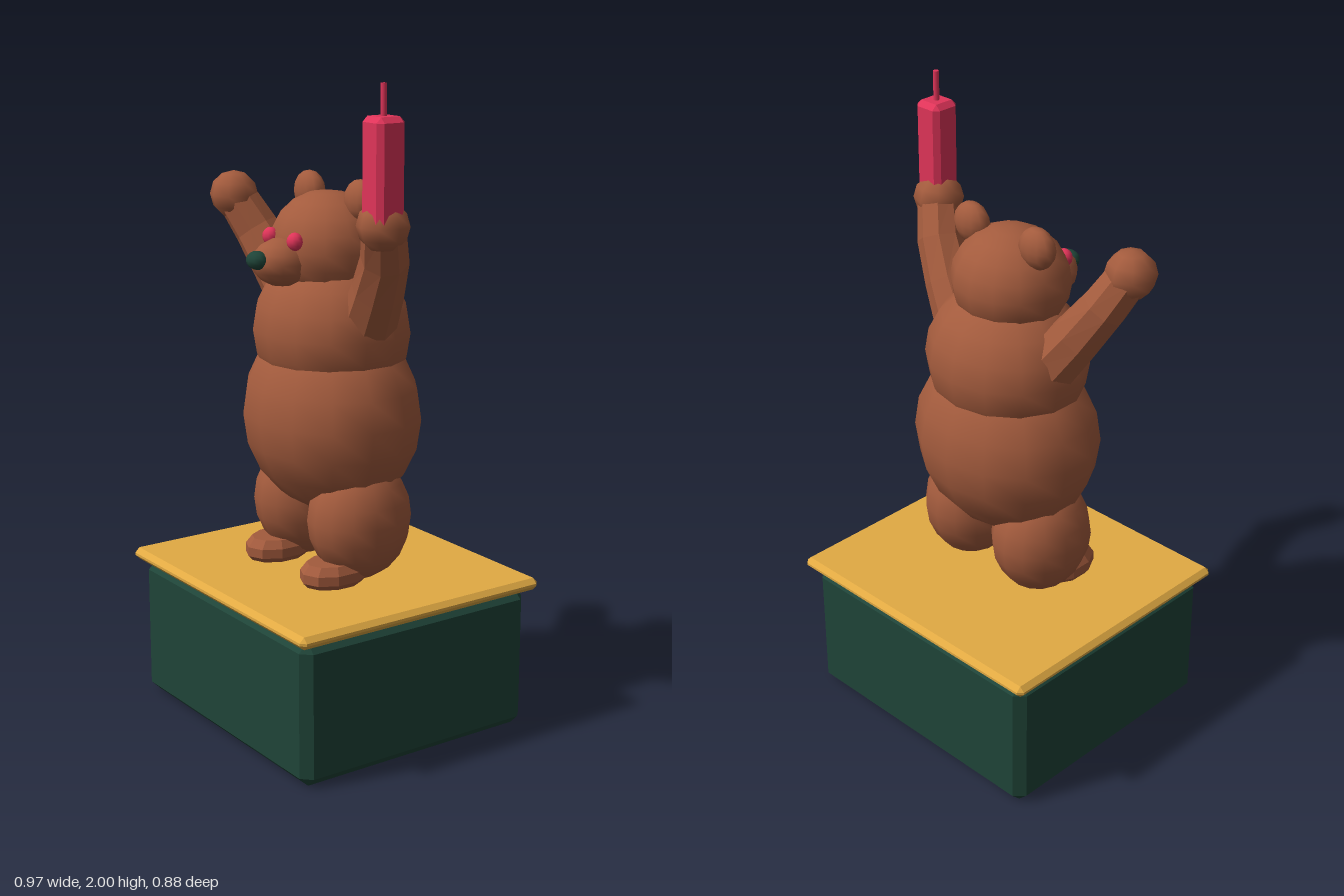
import * as THREE from 'three';

const paint = (name, color) => new THREE.MeshStandardMaterial({ name, color });

const faceted = (geometry) => {
  const flat = geometry.toNonIndexed();
  flat.computeVertexNormals();
  return flat;
};

// Box with chamfered edges, lofted through four octagonal rings; the underside can be left open
function chamferBox(w, h, d, c, openBottom = false) {
  const positions = [];
  const index = [];
  const levels = [[-h / 2, c], [-h / 2 + c, 0], [h / 2 - c, 0], [h / 2, c]];
  for (const [y, inset] of levels) {
    const x = w / 2 - inset, z = d / 2 - inset, k = c - inset;
    const ring = [[k - x, z], [x - k, z], [x, z - k], [x, k - z], [x - k, -z], [k - x, -z], [-x, k - z], [-x, z - k]];
    for (const [px, pz] of ring) positions.push(px, y, pz);
  }
  for (let level = 0; level < 3; level++) {
    for (let j = 0; j < 8; j++) {
      const a = level * 8 + j, b = level * 8 + (j + 1) % 8;
      index.push(a, b, b + 8, a, b + 8, a + 8);
    }
  }
  for (let j = 1; j < 7; j++) {
    index.push(24, 24 + j, 25 + j);
    if (!openBottom) index.push(0, j + 1, j);
  }
  const geometry = new THREE.BufferGeometry();
  geometry.setAttribute('position', new THREE.Float32BufferAttribute(positions, 3));
  geometry.setIndex(index);
  return faceted(geometry);
}

// Tapered, capped limb: a cylinder bent along a curve
function limb(points, r0, r1) {
  const curve = new THREE.CatmullRomCurve3(points.map((p) => new THREE.Vector3(...p)));
  const geometry = new THREE.CylinderGeometry(r1, r0, 1, 8, 3);
  const pos = geometry.attributes.position;
  const up = new THREE.Vector3(0, 1, 0);
  const v = new THREE.Vector3();
  const turn = new THREE.Quaternion();
  for (let i = 0; i < pos.count; i++) {
    const t = THREE.MathUtils.clamp(pos.getY(i) + 0.5, 0, 1);
    turn.setFromUnitVectors(up, curve.getTangentAt(t));
    v.set(pos.getX(i), 0, pos.getZ(i)).applyQuaternion(turn).add(curve.getPointAt(t));
    pos.setXYZ(i, v.x, v.y, v.z);
  }
  return faceted(geometry);
}

export function createModel() {
  const fur = paint('brown fur', 0xa35b3d);
  const green = paint('dark green', 0x1f4438);
  green.side = THREE.DoubleSide; // the pedestal is an open shell
  const gold = paint('gold', 0xe2aa43);
  const red = paint('raspberry red', 0xe03459);
  const model = new THREE.Group();
  model.name = 'bearOnPedestal';

  const add = (name, geometry, material, x, y, z) => {
    const mesh = new THREE.Mesh(geometry, material);
    mesh.name = name;
    mesh.position.set(x, y, z);
    model.add(mesh);
  };

  // Low-poly ellipsoid with a vertex facing the front
  const blob = (name, material, [x, y, z], [rx, ry, rz], sides = 14, rings = 10) => {
    const geometry = new THREE.SphereGeometry(1, sides, rings).rotateY(Math.PI / 2);
    add(name, geometry.scale(rx, ry, rz), material, x, y, z);
  };

  // Hollow pedestal with its lid
  add('pedestalBox', chamferBox(0.92, 0.446, 0.828, 0.03, true), green, 0, 0.223, 0);
  add('pedestalLid', chamferBox(0.972, 0.038, 0.878, 0.015), gold, 0, 0.463, 0);

  // Body and head
  blob('belly', fur, [0, 0.972, 0], [0.306, 0.306, 0.262]);
  blob('chest', fur, [0, 1.235, 0], [0.262, 0.24, 0.233]);
  blob('head', fur, [0, 1.486, 0.016], [0.186, 0.17, 0.174]);
  blob('muzzle', fur, [0, 1.455, 0.175], [0.085, 0.073, 0.097], 12, 8);
  blob('nose', green, [0, 1.468, 0.265], [0.038, 0.028, 0.031], 10, 8);

  for (const side of [-1, 1]) {
    const label = side > 0 ? 'left' : 'right';
    blob(label + 'Ear', fur, [side * 0.132, 1.635, -0.012], [0.064, 0.064, 0.042], 12, 8);
    blob(label + 'Eye', red, [side * 0.065, 1.523, 0.175], [0.027, 0.027, 0.024], 10, 8);

    // Raised arms
    const path = [[side * 0.192, 1.29, 0], [side * 0.33, 1.488, 0.047], [side * 0.39, 1.605, 0.096]];
    add(label + 'Arm', limb(path, 0.086, 0.064), fur, 0, 0, 0);
    blob(label + 'Paw', fur, [side * 0.39, 1.604, 0.098], [0.078, 0.075, 0.077], 8, 6);

    // Legs and feet
    blob(label + 'Leg', fur, [side * 0.148, 0.67, 0], [0.147, 0.19, 0.166]);
    const sole = [[0, 0], [0.86, 0], [1, 0.016], [1, 0.045], [0.8, 0.07], [0, 0.07]];
    const foot = new THREE.LatheGeometry(sole.map(([r, y]) => new THREE.Vector2(r, y)), 10);
    add(label + 'Foot', faceted(foot.scale(0.082, 1, 0.11)), fur, side * 0.153, 0.484, 0.1);
  }

  // Candle held in the left paw
  add('candle', chamferBox(0.096, 0.31, 0.096, 0.016), red, 0.4, 1.755, 0.106);
  add('wick', new THREE.CylinderGeometry(0.009, 0.009, 0.11, 8), red, 0.4, 1.945, 0.106);

  return model;
}
